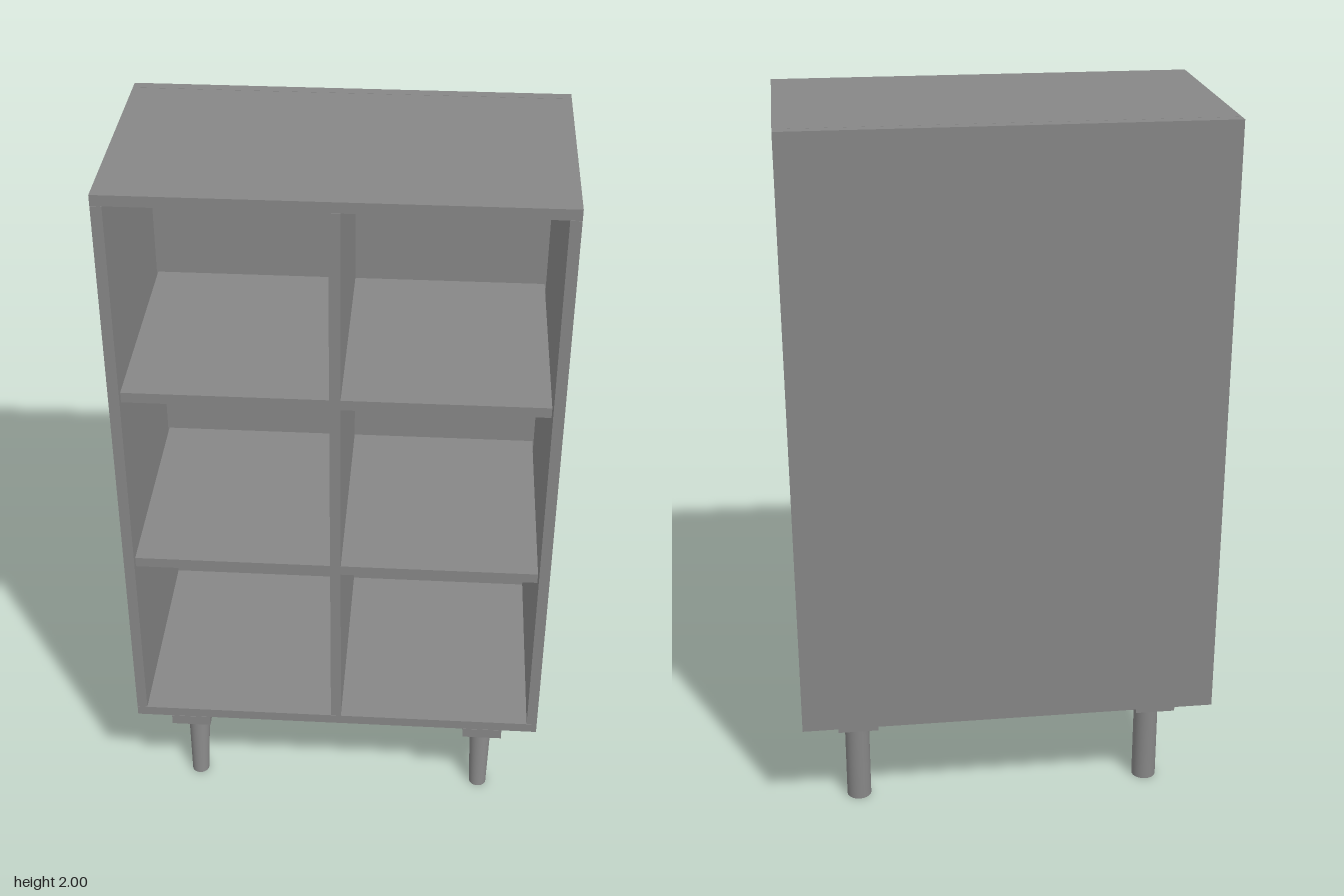
import * as THREE from 'three';

const material = new THREE.MeshStandardMaterial({ color: 0x868686 });

export function createModel() {
  const model = new THREE.Group();
  model.name = 'cubeShelfCabinet';

  const add = (name, geometry) => {
    const mesh = new THREE.Mesh(geometry, material);
    mesh.name = name;
    model.add(mesh);
  };

  // Box given by its minimum and maximum on each axis
  const board = (name, [x0, x1], [y0, y1], [z0, z1]) => {
    const box = new THREE.BoxGeometry(x1 - x0, y1 - y0, z1 - z0);
    add(name, box.translate((x0 + x1) / 2, (y0 + y1) / 2, (z0 + z1) / 2));
  };

  // Leg with level ends, sheared so its foot stands forward of its top
  const leg = (name, x, zTop, zFoot, rTop, rFoot) => {
    const h = 0.286;
    const g = new THREE.CylinderGeometry(rTop, rFoot, h, 32);
    const shear = new THREE.Matrix4().set(
      1, 0, 0, x,
      0, 1, 0, h / 2,
      0, (zTop - zFoot) / h, 1, (zTop + zFoot) / 2,
      0, 0, 0, 1);
    add(name, g.applyMatrix4(shear));
  };

  // T is the board thickness, seam the fine joint between boards
  const W = 0.582, T = 0.029, seam = 0.001, base = 0.318, front = 0.333, back = -0.302;
  const inner = W - T, depth = [back + seam, front];
  const upright = [base + T + seam, 2 - T - seam];

  // Carcass
  board('topPanel', [-W, W], [2 - T, 2], depth);
  board('bottomPanel', [-W, W], [base, base + T], depth);
  board('backPanel', [-W, W], [base, 2], [-front, back]);
  board('centreDivider', [-T / 2, T / 2], upright, depth);

  for (const side of [-1, 1]) {
    const label = side > 0 ? 'left' : 'right';
    const span = (a, b) => (side > 0 ? [a, b] : [-b, -a]);

    board(label + 'SidePanel', span(inner, W), upright, depth);

    // Shelves, just short of the side panels
    [0.876, 1.415].forEach((y, i) =>
      board(label + (i ? 'Upper' : 'Lower') + 'Shelf',
        span(T / 2, inner - 4 * seam), [y, y + T], depth));

    // Mounting rail and legs
    board(label + 'LegRail', span(0.37, 0.482), [0.286, base - seam], depth);
    leg(label + 'FrontLeg', side * 0.426, 0.175, 0.224, 0.035, 0.025);
    leg(label + 'BackLeg', side * 0.426, -0.177, -0.177, 0.035, 0.035);
  }

  return model;
}
